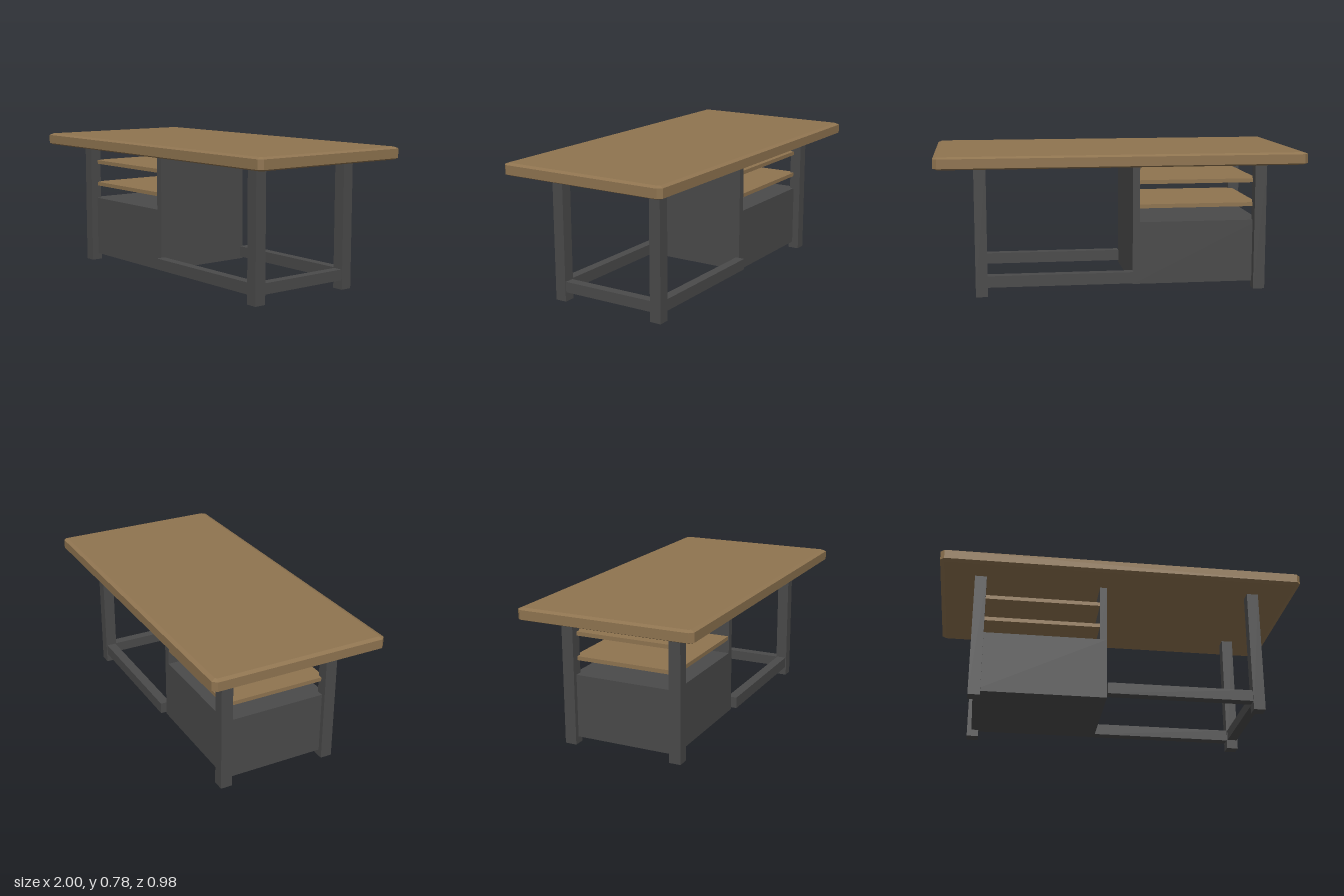
import * as THREE from 'three';

const wood = new THREE.MeshStandardMaterial({ color: 0x8f7450, flatShading: true });
const metal = new THREE.MeshStandardMaterial({ color: 0x4a4a4a, flatShading: true });

// Box given by its extents on each axis
function block(name, material, [x0, x1], [y0, y1], [z0, z1]) {
  const mesh = new THREE.Mesh(new THREE.BoxGeometry(x1 - x0, y1 - y0, z1 - z0), material);
  mesh.position.set((x0 + x1) / 2, (y0 + y1) / 2, (z0 + z1) / 2);
  mesh.name = name;
  return mesh;
}

// Slab with clipped corners and chamfered edges
function tableTop() {
  const bevel = 0.022, rise = 0.009, clip = 0.009;
  const w = 1 - bevel, d = 0.49 - bevel;
  const outline = new THREE.Shape([
    [w - clip, -d], [w, -d + clip], [w, d - clip], [w - clip, d],
    [-w + clip, d], [-w, d - clip], [-w, -d + clip], [-w + clip, -d],
  ].map(([x, y]) => new THREE.Vector2(x, y)));
  const geometry = new THREE.ExtrudeGeometry(outline, {
    depth: 0.05, bevelEnabled: true, bevelSegments: 1, bevelSize: bevel, bevelThickness: rise,
  });
  geometry.rotateX(-Math.PI / 2);
  const mesh = new THREE.Mesh(geometry, wood);
  mesh.position.y = 0.709 + rise;
  mesh.name = 'tableTop';
  return mesh;
}

export function createModel() {
  const group = new THREE.Group();
  group.name = 'desk';
  group.add(tableTop());

  const legHalf = 0.0325, top = 0.71;
  const legX = { left: 0.76, right: -0.778 };
  const legZ = { front: 0.3025, back: -0.3125 };
  const around = (c, half) => [c - half, c + half];

  // Legs, and the long foot rails running from the cabinet to the left legs
  for (const [end, z] of Object.entries(legZ)) {
    for (const [side, x] of Object.entries(legX)) {
      group.add(block(`${end}${side}Leg`, metal, around(x, legHalf), [0, top], around(z, legHalf)));
    }
    group.add(block(`${end}Rail`, metal, [-0.07, 0.73], [0.05, 0.113], around(z, 0.027)));
  }

  // Cross rail between the left legs
  group.add(block('sideRail', metal, around(legX.left, 0.027), [0.052, 0.111], [-0.28, 0.27]));

  // Cabinet with the upright panel above its inner end
  const depth = [-0.305, 0.295];
  group.add(block('cabinet', metal, [-0.785, -0.07], [0.038, 0.385], depth));
  group.add(block('uprightPanel', metal, [-0.11, -0.07], [0.385, top], depth));

  // Open shelves above the cabinet
  for (const y of [0.472, 0.606]) {
    group.add(block('shelf', wood, [-0.77, -0.11], around(y, 0.011), [-0.3, 0.29]));
  }
  return group;
}
